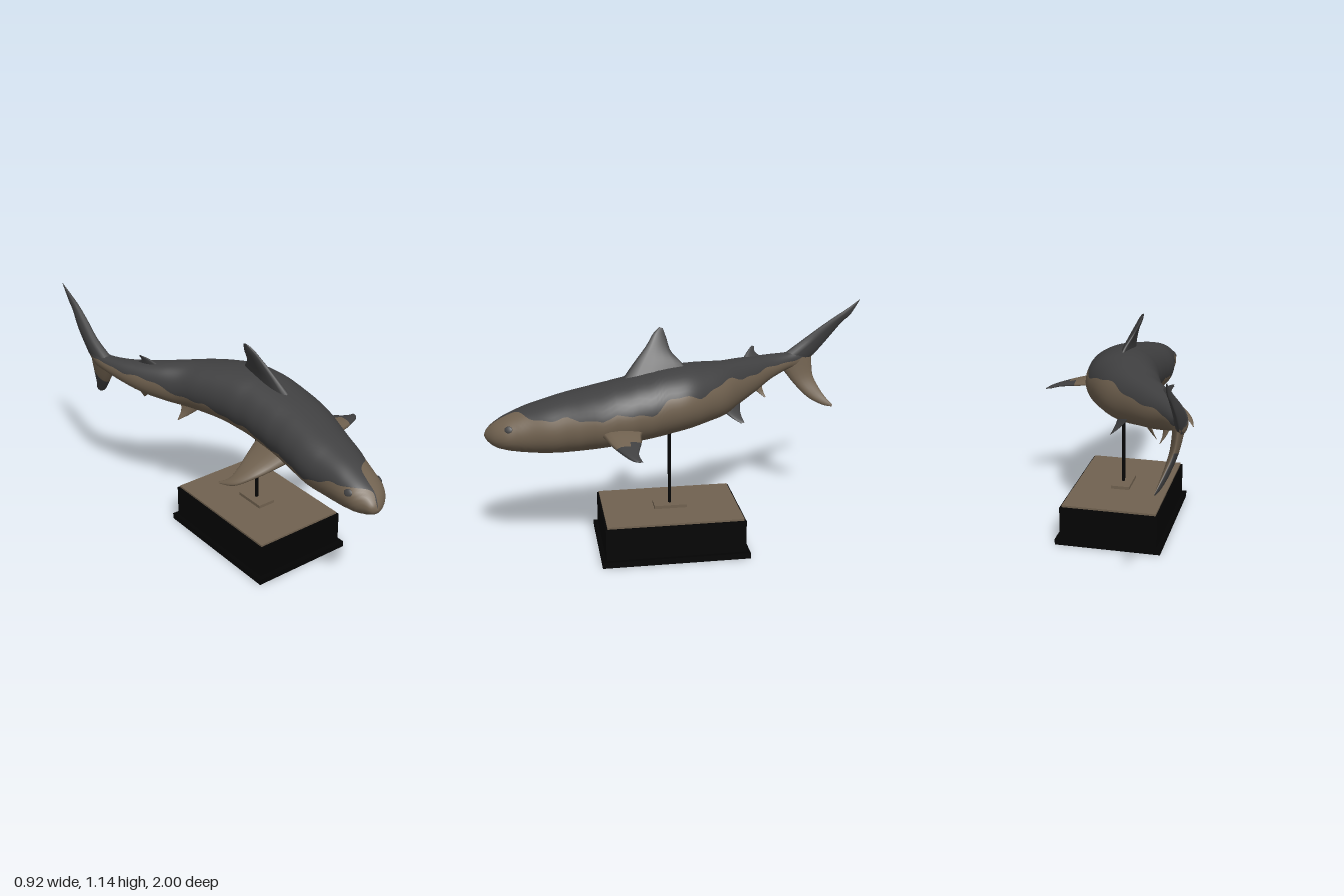
import * as THREE from 'three';

const gray = new THREE.MeshStandardMaterial({ color: 0x404041 });
const brown = new THREE.MeshStandardMaterial({ color: 0x716250 });
const black = new THREE.MeshStandardMaterial({ color: 0x030303 });
gray.name = 'slate gray';
brown.name = 'belly brown';
black.name = 'stand black';

// Smoothly resample rows of numbers along a Catmull-Rom curve
function resample(rows, steps) {
  const out = [], n = rows.length;
  for (let i = 0; i < n - 1; i++) {
    const a = rows[Math.max(i - 1, 0)], b = rows[i], c = rows[i + 1], d = rows[Math.min(i + 2, n - 1)];
    for (let s = 0; s < steps; s++) {
      const t = s / steps;
      out.push(b.map((v, k) => v + 0.5 * t * (c[k] - a[k] + t * (2 * a[k] - 5 * v + 4 * c[k] - d[k] + t * (3 * (v - c[k]) + d[k] - a[k])))));
    }
  }
  out.push(rows[n - 1].slice());
  return out;
}

// Skin closed rings of points; isGray(row, column) picks the colour
function loft(rings, isGray, name) {
  const m = rings[0].length, faces = [[], []];
  const root = rings[0].reduce((sum, p) => sum.add(p), new THREE.Vector3()).divideScalar(m);
  let volume = 0;
  for (let i = 0; i < rings.length - 1; i++) {
    for (let j = 0; j < m; j++) {
      const k = (j + 1) % m;
      const quad = [[i, j], [i, k], [i + 1, k], [i + 1, j]];
      for (const tri of [[0, 1, 2], [0, 2, 3]]) {
        const c = tri.map((q) => quad[q]);
        const [p, q, r] = c.map(([u, v]) => rings[u][v].clone().sub(root));
        volume += p.dot(q.cross(r));
        faces[isGray(i, j) ? 0 : 1].push(c.map(([u, v]) => u * m + v));
      }
    }
  }
  // keep faces pointing outward
  if (volume < 0) faces.forEach((list) => list.forEach((f) => f.reverse()));
  const g = new THREE.BufferGeometry().setFromPoints(rings.flat());
  g.setIndex(faces.flat(2));
  g.addGroup(0, faces[0].length * 3, 0);
  g.addGroup(faces[0].length * 3, faces[1].length * 3, 1);
  g.computeVertexNormals();
  const mesh = new THREE.Mesh(g, [gray, brown]);
  mesh.name = name;
  return mesh;
}

// Fin: each section is leading point xyz, trailing point xyz, half thickness
const allGray = () => true, allBrown = () => false;
function fin(name, sections, normal, isGray) {
  const n = new THREE.Vector3(...normal).normalize();
  const rings = resample(sections, 5).map(([a, b, c, d, e, f, t]) => {
    const lead = new THREE.Vector3(a, b, c), trail = new THREE.Vector3(d, e, f), ring = [];
    for (let k = 0; k < 14; k++) {
      const w = (k / 14) * Math.PI * 2;
      ring.push(lead.clone().lerp(trail, (1 - Math.cos(w)) / 2).addScaledVector(n, t * Math.sin(w) * (1 + 0.35 * Math.cos(w))));
    }
    return ring;
  });
  return loft(rings, isGray, name);
}

// Body stations: z, centre x, half width, top y, bottom y, colour edge angle left, right
const stations = [
  [1, -0.05, 0, 0.62, 0.615, 1.5, 1.5],
  [0.985, -0.045, 0.035, 0.65, 0.592, 1.5, 1.5],
  [0.95, -0.03, 0.07, 0.685, 0.57, 1.55, 1.5],
  [0.9, -0.025, 0.1, 0.715, 0.555, 1.55, 0.95],
  [0.84, -0.022, 0.113, 0.743, 0.545, 1.4, 0.55],
  [0.78, -0.018, 0.124, 0.767, 0.539, 0.8, 0.3],
  [0.7, -0.01, 0.142, 0.792, 0.537, 0.52, -0.05],
  [0.6, -0.005, 0.16, 0.82, 0.54, 0.4, -0.25],
  [0.4, 0.02, 0.18, 0.87, 0.565, 0.2, -0.3],
  [0.2, 0.015, 0.185, 0.912, 0.595, 0.1, -0.35],
  [0.1, 0, 0.187, 0.928, 0.61, 0.32, -0.3],
  [0, -0.022, 0.187, 0.933, 0.625, 0.28, -0.3],
  [-0.1, -0.066, 0.174, 0.925, 0.638, 0.35, -0.25],
  [-0.2, -0.122, 0.154, 0.91, 0.65, 0.55, -0.1],
  [-0.3, -0.213, 0.127, 0.895, 0.675, 0.45, 0.15],
  [-0.4, -0.295, 0.097, 0.88, 0.703, 0.35, 0.35],
  [-0.5, -0.365, 0.065, 0.87, 0.742, 0.25, 0.4],
  [-0.6, -0.41, 0.045, 0.865, 0.775, 0.15, 0.45],
  [-0.68, -0.432, 0.028, 0.875, 0.79, 0, 0.2],
  [-0.76, -0.445, 0, 0.87, 0.84, 0, 0],
];

function body() {
  const half = 20;
  const rings = resample(stations, 6).map(([z, x, hw, top, bottom, edgeL, edgeR]) => {
    const fade = Math.min(1, Math.max(0, (0.9 - z) * 5));
    const wobble = fade * (0.07 * Math.sin(z * 23) + 0.05 * Math.sin(z * 53 + 1));
    const a0 = edgeL + wobble, a1 = Math.PI - edgeR + wobble;
    const yc = (top + bottom) / 2, h = (top - bottom) / 2, ring = [];
    for (let j = 0; j < half * 2; j++) {
      const a = j < half ? a0 + ((a1 - a0) * j) / half : a1 + ((a0 + Math.PI * 2 - a1) * (j - half)) / half;
      const c = Math.cos(a), dy = h * Math.sin(a);
      ring.push(new THREE.Vector3(x + Math.max(hw, 0) * Math.sign(c) * Math.abs(c) ** 0.9 - 0.08 * dy, yc + dy, z));
    }
    return ring;
  });
  return loft(rings, (i, j) => j < half, 'body');
}

function addBox(group, name, mat, w, h, d, y) {
  const mesh = new THREE.Mesh(new THREE.BoxGeometry(w, h, d), mat);
  mesh.position.y = y + h / 2;
  mesh.name = name;
  group.add(mesh);
}

// Rectangular hollow frame standing on y
function addFrame(group, name, w, d, inW, inD, y, h) {
  const rect = (C, a, b) => new C([[-a, -b], [a, -b], [a, b], [-a, b]].map(([p, q]) => new THREE.Vector2(p / 2, q / 2)));
  const shape = rect(THREE.Shape, w, d);
  shape.holes.push(rect(THREE.Path, inW, inD));
  const mesh = new THREE.Mesh(new THREE.ExtrudeGeometry(shape, { depth: h, bevelEnabled: false }), black);
  mesh.rotation.x = -Math.PI / 2;
  mesh.position.y = y;
  mesh.name = name;
  group.add(mesh);
}

function stand() {
  const g = new THREE.Group();
  g.name = 'stand';
  g.position.set(-0.007, 0, 0.09);
  addFrame(g, 'plinth', 0.535, 0.74, 0.42, 0.62, 0, 0.03);
  addFrame(g, 'baseWalls', 0.494, 0.7, 0.42, 0.62, 0.03, 0.164);
  addBox(g, 'topPanel', brown, 0.476, 0.012, 0.682, 0.192);
  addBox(g, 'rodPlate', brown, 0.094, 0.016, 0.165, 0.204);
  const rod = new THREE.Mesh(new THREE.CylinderGeometry(0.0085, 0.0085, 0.5, 16), black);
  rod.position.y = 0.395;
  rod.name = 'rod';
  g.add(rod);
  return g;
}

export function createModel() {
  const model = new THREE.Group();
  model.name = 'sharkOnStand';
  model.add(body(), stand());

  model.add(
    fin('dorsalFin', [
      [0, 0.87, 0.33, -0.005, 0.88, -0.03, 0.032],
      [-0.03, 0.955, 0.26, -0.025, 0.945, 0.02, 0.02],
      [-0.058, 1.03, 0.195, -0.055, 1.0, 0.072, 0.013],
      [-0.085, 1.085, 0.155, -0.085, 1.06, 0.09, 0.009],
      [-0.102, 1.111, 0.122, -0.102, 1.105, 0.105, 0.001],
    ], [1, 0.35, 0], allGray),
    fin('secondDorsalFin', [
      [-0.27, 0.855, -0.32, -0.345, 0.855, -0.47, 0.018],
      [-0.325, 0.908, -0.37, -0.34, 0.895, -0.415, 0.008],
      [-0.354, 0.928, -0.4, -0.355, 0.922, -0.412, 0.001],
    ], [1, 0.4, 0.4], allGray),
    fin('leftPectoralFin', [
      [0.1, 0.64, 0.46, 0.1, 0.66, 0.2, 0.036],
      [0.2, 0.662, 0.435, 0.2, 0.67, 0.25, 0.023],
      [0.3, 0.65, 0.405, 0.3, 0.657, 0.265, 0.017],
      [0.39, 0.635, 0.358, 0.385, 0.64, 0.288, 0.011],
      [0.44, 0.625, 0.322, 0.43, 0.627, 0.283, 0.007],
      [0.46, 0.622, 0.288, 0.457, 0.622, 0.276, 0.001],
    ], [0.15, 1, 0], (i, k) => i >= (k > 3 ? 10 : 12)),
    fin('rightPectoralFin', [
      [-0.09, 0.63, 0.45, -0.09, 0.64, 0.2, 0.036],
      [-0.17, 0.585, 0.41, -0.18, 0.6, 0.235, 0.024],
      [-0.25, 0.548, 0.37, -0.25, 0.562, 0.26, 0.016],
      [-0.318, 0.51, 0.312, -0.303, 0.525, 0.262, 0.01],
      [-0.345, 0.492, 0.23, -0.343, 0.495, 0.22, 0.001],
    ], [-0.4, 1, 0], allBrown),
    fin('rightPelvicFin', [
      [-0.16, 0.69, -0.15, -0.21, 0.69, -0.27, 0.025],
      [-0.2, 0.632, -0.205, -0.222, 0.64, -0.252, 0.01],
      [-0.245, 0.595, -0.245, -0.246, 0.596, -0.252, 0.001],
    ], [1, -0.5, 0.3], allBrown),
    fin('leftPelvicFin', [
      [-0.06, 0.7, -0.17, -0.11, 0.7, -0.29, 0.022],
      [-0.045, 0.648, -0.225, -0.075, 0.655, -0.285, 0.01],
      [-0.028, 0.614, -0.28, -0.03, 0.617, -0.298, 0.001],
    ], [1, 0.4, 0.5], allGray),
    fin('analFin', [
      [-0.31, 0.735, -0.37, -0.35, 0.745, -0.45, 0.018],
      [-0.312, 0.685, -0.425, -0.325, 0.695, -0.455, 0.008],
      [-0.3, 0.656, -0.462, -0.301, 0.66, -0.467, 0.001],
    ], [1, 0.2, 0.4], allBrown),
    fin('upperTailLobe', [
      [-0.415, 0.845, -0.57, -0.44, 0.81, -0.72, 0.03],
      [-0.43, 0.925, -0.69, -0.44, 0.86, -0.775, 0.024],
      [-0.425, 0.998, -0.79, -0.44, 0.94, -0.845, 0.019],
      [-0.422, 1.052, -0.87, -0.432, 1.015, -0.905, 0.013],
      [-0.424, 1.092, -0.935, -0.428, 1.055, -0.95, 0.008],
      [-0.43, 1.136, -1, -0.43, 1.128, -0.997, 0.001],
    ], [1, 0.1, -0.1], allGray),
    fin('lowerTailLobe', [
      [-0.41, 0.82, -0.55, -0.435, 0.83, -0.745, 0.028],
      [-0.402, 0.705, -0.635, -0.42, 0.735, -0.75, 0.02],
      [-0.383, 0.622, -0.715, -0.392, 0.66, -0.785, 0.015],
      [-0.366, 0.58, -0.79, -0.37, 0.61, -0.82, 0.009],
      [-0.355, 0.568, -0.845, -0.356, 0.578, -0.85, 0.001],
    ], [1, 0.3, -0.1], (i, k) => i >= 5 && k >= 7),
  );

  // Eyes
  for (const side of [1, -1]) {
    const eye = new THREE.Mesh(new THREE.SphereGeometry(1, 16, 10), gray);
    eye.scale.set(0.02, 0.017, 0.005);
    eye.position.set(-0.027 + side * 0.095, 0.678, 0.88);
    eye.lookAt(eye.position.x + side * 0.85, 0.678 + 0.45, 0.88 + 0.35);
    eye.name = side > 0 ? 'leftEye' : 'rightEye';
    model.add(eye);
  }
  return model;
}
